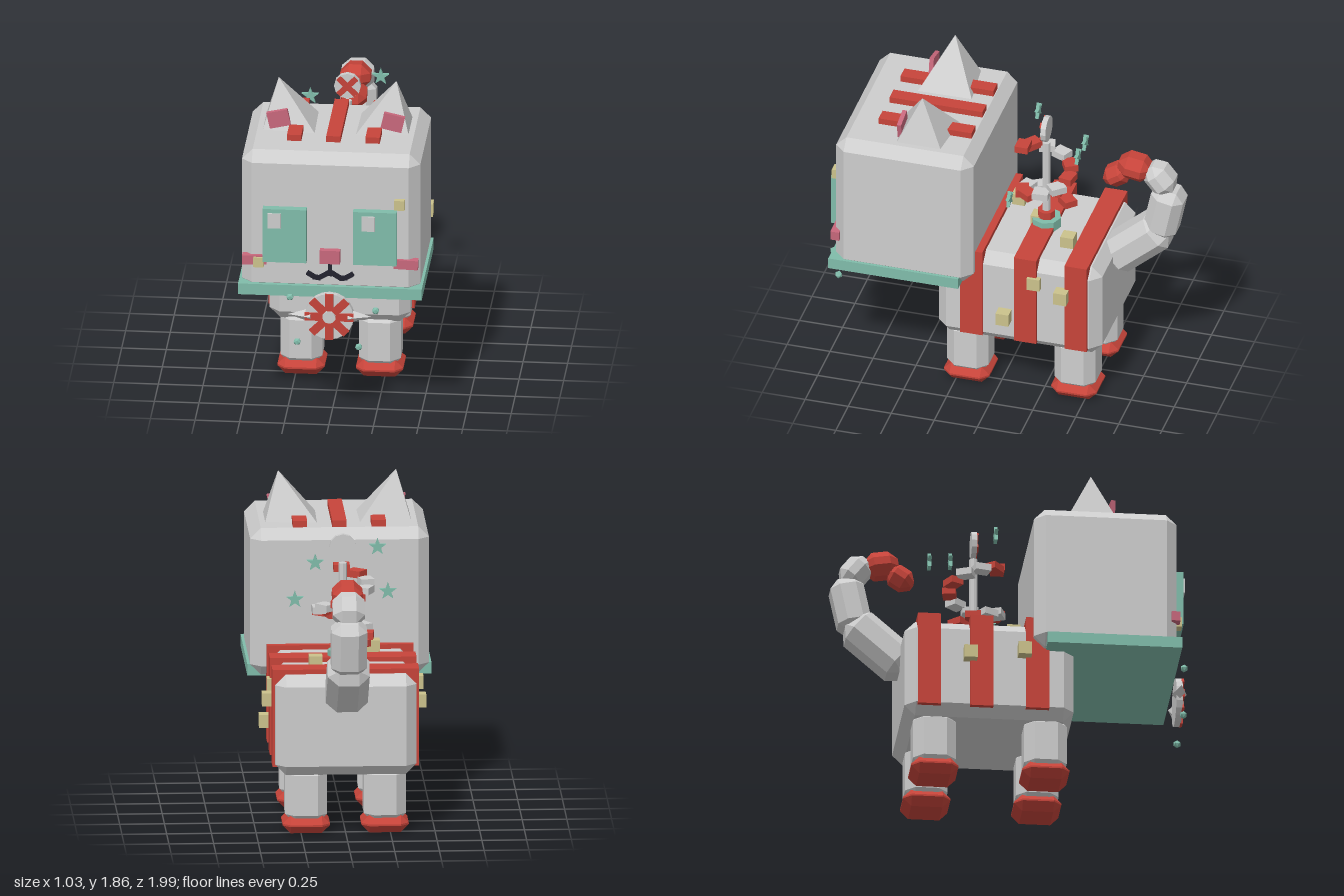
import * as THREE from 'three';
import { ConvexGeometry } from 'three/addons/geometries/ConvexGeometry.js';

const mat = (name, color) => {
  const m = new THREE.MeshStandardMaterial({ color });
  m.name = name;
  return m;
};

// Box with every edge and corner cut off
function chamferBox(w, h, d, c) {
  const pts = [];
  for (const x of [-1, 1]) for (const y of [-1, 1]) for (const z of [-1, 1]) {
    const X = w / 2, Y = h / 2, Z = d / 2;
    pts.push(new THREE.Vector3(x * X, y * (Y - c), z * (Z - c)));
    pts.push(new THREE.Vector3(x * (X - c), y * Y, z * (Z - c)));
    pts.push(new THREE.Vector3(x * (X - c), y * (Y - c), z * Z));
  }
  return new ConvexGeometry(pts);
}

function flat(geometry) {
  const g = geometry.index ? geometry.toNonIndexed() : geometry;
  g.computeVertexNormals();
  return g;
}

export function createModel() {
  const gray = mat('light gray', 0xcdcdcd);
  const red = mat('red', 0xc6443a);
  const teal = mat('teal', 0x80bcaa);
  const pink = mat('pink', 0xc8687c);
  const sand = mat('sand', 0xcbc28c);
  const ink = mat('ink', 0x23232f);

  const root = new THREE.Group();
  const add = (name, geo, material, x, y, z, parent = root) => {
    const m = new THREE.Mesh(geo, material);
    m.name = name;
    m.position.set(x, y, z);
    parent.add(m);
    return m;
  };
  const box = (w, h, d) => new THREE.BoxGeometry(w, h, d);
  const cyl = (r, h, n) => flat(new THREE.CylinderGeometry(r, r, h, n));

  // Body with three red bands
  add('body', chamferBox(0.79, 0.575, 0.95, 0.06), gray, 0, 0.627, -0.132);
  for (const z of [0.134, -0.179, -0.473])
    add('bodyBand', box(0.82, 0.555, 0.13), red, 0, 0.663, z);

  // Legs and feet
  for (const x of [-0.22, 0.22]) for (const z of [0.19, -0.433]) {
    add('leg', chamferBox(0.235, 0.34, 0.24, 0.055), gray, x, 0.22, z);
    add('foot', chamferBox(0.265, 0.1, 0.265, 0.045), red, x, 0.05, z);
  }

  // Head and collar plate
  add('head', chamferBox(1, 0.84, 0.8, 0.06), gray, 0, 1.172, 0.51);
  add('collar', box(1.03, 0.065, 0.755), teal, 0, 0.777, 0.557);
  add('headStripe', box(0.08, 0.06, 0.54), red, 0, 1.598, 0.445);

  for (const s of [-1, 1]) {
    add('headStripe', box(0.08, 0.06, 0.54), red, s * 0.22, 1.598, 0.445);
    const ear = [[0.41, 1.585, 0.31], [0.115, 1.585, 0.28], [0.11, 1.585, 0.6],
      [0.41, 1.585, 0.57], [0.33, 1.86, 0.44]];
    add('ear', new ConvexGeometry(ear.map(([x, y, z]) => new THREE.Vector3(s * x, y, z))), gray, 0, 0, 0);
    add('innerEar', box(0.12, 0.095, 0.025), pink, s * 0.32, 1.66, 0.56).rotation.z = -s * 0.22;

    // Face
    add('eye', box(0.245, 0.32, 0.06), teal, s * 0.253, 1.115, 0.927);
    add('cheek', box(0.135, 0.055, 0.05), pink, s * 0.425, 0.952, 0.903).rotation.z = -s * 0.03;
    add('mouthInner', box(0.075, 0.024, 0.025), ink, s * 0.032, 0.873, 0.917).rotation.z = -s * 0.55;
    add('mouthMiddle', box(0.045, 0.024, 0.025), ink, s * 0.075, 0.857, 0.917).rotation.z = s * 0.15;
    add('mouthOuter', box(0.05, 0.024, 0.025), ink, s * 0.108, 0.872, 0.917).rotation.z = s * 0.55;
  }
  add('eyeHighlight', box(0.075, 0.088, 0.02), gray, -0.31, 1.207, 0.957);
  add('eyeHighlight', box(0.075, 0.088, 0.02), gray, 0.217, 1.207, 0.957);
  add('nose', box(0.113, 0.08, 0.06), pink, 0, 0.99, 0.917);
  add('mouthStem', box(0.022, 0.08, 0.025), ink, 0, 0.91, 0.917);

  // Small cubes stuck to the head and body
  for (const [x, y, z] of [[0.39, 1.315], [-0.4, 0.943]].map(([x, y]) => [x, y, 0.913]))
    add('faceCube', box(0.058, 0.058, 0.058), sand, x, y, z);
  for (const [x, y, z] of [[0.425, 0.545, -0.06], [0.39, 0.79, -0.23], [0.425, 0.745, -0.395],
    [-0.425, 0.73, 0.06], [-0.425, 0.695, -0.245],
    [0.16, 0.945, -0.36], [-0.18, 0.945, 0.02], [0, 0.945, -0.14]])
    add('bodyCube', box(0.075, 0.075, 0.075), sand, x, y, z);

  // Curled tail: [z, y] ends, width, thickness, cut, material
  const tail = [
    [-0.56, 0.77, -0.88, 1.05, 0.235, 0.22, 0.06, gray],
    [-0.845, 0.99, -0.91, 1.3, 0.2, 0.19, 0.05, gray],
    [-0.91, 1.28, -0.79, 1.43, 0.18, 0.15, 0.05, gray],
    [-0.8, 1.39, -0.61, 1.42, 0.17, 0.145, 0.05, red],
    [-0.665, 1.38, -0.53, 1.29, 0.145, 0.125, 0.045, red],
  ];
  for (const [z0, y0, z1, y1, w, t, c, m] of tail) {
    const len = Math.hypot(z1 - z0, y1 - y0);
    const seg = add(m === red ? 'tailTip' : 'tailSegment', chamferBox(w, len, t, c), m, 0, (y0 + y1) / 2, (z0 + z1) / 2);
    seg.rotation.x = Math.atan2(z1 - z0, y1 - y0);
  }

  // Pole on the back with a spiral of steps and a round sign
  const pole = new THREE.Group();
  pole.name = 'spiralPole';
  pole.position.set(0, 0, -0.185);
  root.add(pole);
  add('poleBase', cyl(0.085, 0.06, 8), teal, 0, 0.945, 0, pole);
  add('poleCollar', cyl(0.05, 0.05, 8), red, 0, 0.995, 0, pole);
  add('poleShaft', cyl(0.024, 0.5, 8), gray, 0, 1.22, 0, pole);
  const steps = 14;
  for (let i = 0; i < steps; i++) {
    const a = -Math.PI * 0.75 - (i / (steps - 1)) * Math.PI * 2.75;
    const step = add('spiralStep', box(0.075, 0.04, 0.09), Math.floor(i / 2) % 2 ? gray : red,
      0.135 * Math.cos(a), 1.03 + (i / (steps - 1)) * 0.385, -0.135 * Math.sin(-a), pole);
    step.rotation.y = -a;
  }
  add('signDisc', cyl(0.075, 0.03, 12), gray, 0, 1.56, 0, pole).rotation.x = Math.PI / 2;
  for (const a of [1, -1])
    add('signCross', box(0.14, 0.032, 0.012), red, 0, 1.56, 0.018, pole).rotation.z = a * Math.PI / 4;

  // Stars floating round the pole
  const star = new THREE.Shape();
  for (let i = 0; i < 10; i++) {
    const r = i % 2 ? 0.02 : 0.05, a = Math.PI / 2 + i * Math.PI / 5;
    star[i ? 'lineTo' : 'moveTo'](r * Math.cos(a), r * Math.sin(a));
  }
  star.closePath();
  const starGeo = new THREE.ExtrudeGeometry(star, { depth: 0.02, bevelEnabled: false });
  starGeo.translate(0, 0, -0.01);
  for (const [x, y, z] of [[-0.2, 1.535, -0.08], [0.165, 1.525, -0.415], [0.26, 1.23, -0.045], [-0.245, 1.34, -0.34]])
    add('star', starGeo, teal, x, y, z);

  // Spoked pendant under the chin
  const pendant = new THREE.Group();
  pendant.name = 'pendant';
  pendant.position.set(0, 0.645, 0.96);
  root.add(pendant);
  add('pendantDisc', cyl(0.137, 0.036, 20), gray, 0, 0, 0, pendant).rotation.x = Math.PI / 2;
  for (let i = 0; i < 8; i++) {
    const a = i * Math.PI / 4;
    add('spoke', box(0.1, 0.046, 0.014), red, 0.087 * Math.cos(a), 0.087 * Math.sin(a), 0.021, pendant).rotation.z = a;
  }
  add('pendantHub', cyl(0.036, 0.03, 12), gray, 0, 0, 0.018, pendant).rotation.x = Math.PI / 2;
  for (const s of [-1, 1]) {
    const wing = add('pendantWing', flat(new THREE.ConeGeometry(0.042, 0.13, 4)), gray, s * 0.17, 0, 0, pendant);
    wing.rotation.z = -s * Math.PI / 2;
  }

  // Beads round the pendant
  for (const [x, y] of [[-0.22, 0.755], [0.26, 0.69], [-0.18, 0.487], [0.165, 0.467]])
    add('bead', new THREE.IcosahedronGeometry(0.022, 0), teal, x, y, 0.975);

  return root;
}
